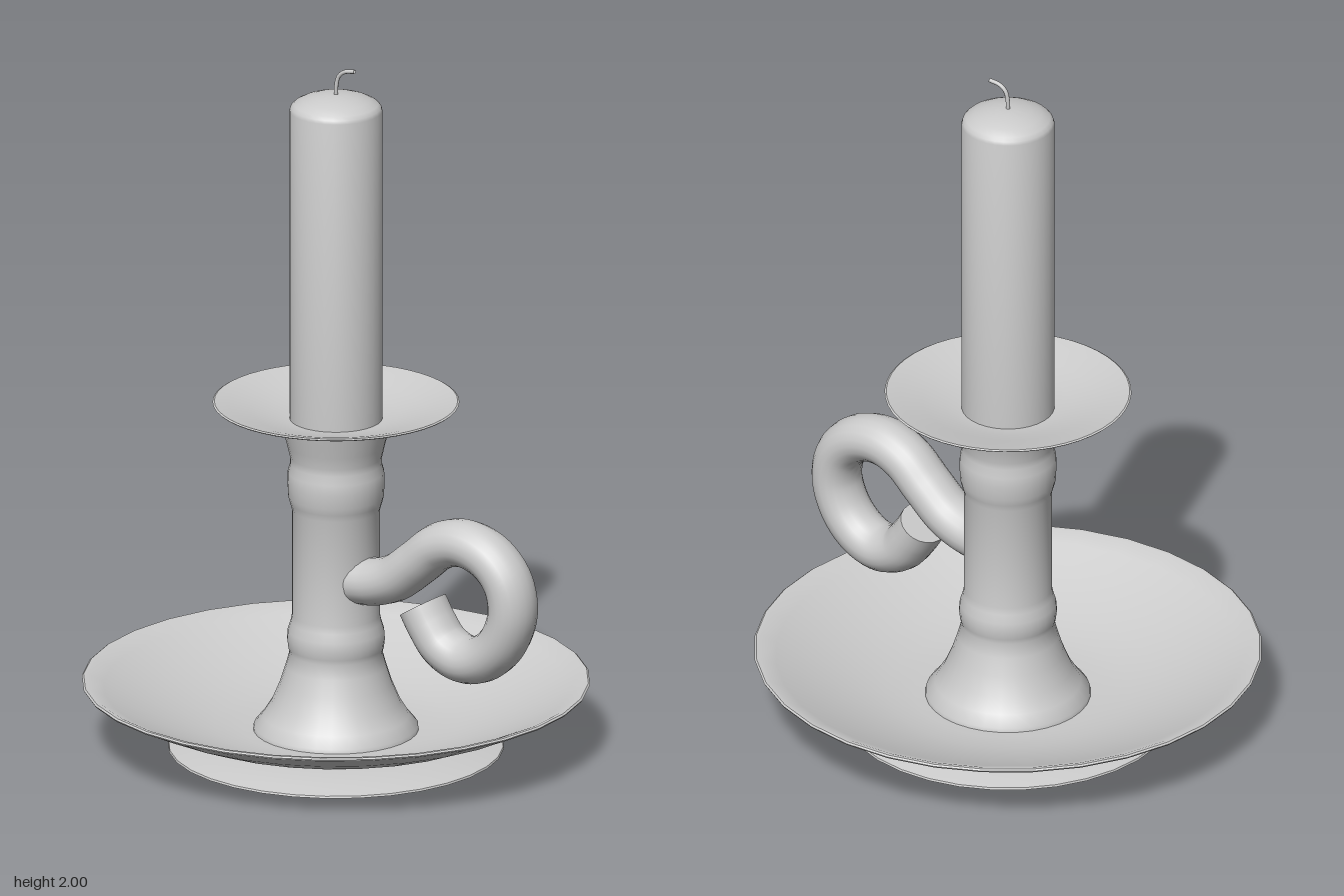
import * as THREE from 'three';
import { toCreasedNormals } from 'three/addons/utils/BufferGeometryUtils.js';

const material = new THREE.MeshStandardMaterial({ color: 0xcccccc, side: THREE.DoubleSide });

function addMesh(parent, name, geometry) {
  const mesh = new THREE.Mesh(geometry, material);
  mesh.name = name;
  parent.add(mesh);
  return mesh;
}

// Turned part: profile of [radius, height] pairs, outside going up, inside coming down
function turned(parent, name, profile, segments = 32) {
  const points = profile.map(([r, y]) => new THREE.Vector2(r, y));
  return addMesh(parent, name, toCreasedNormals(new THREE.LatheGeometry(points, segments), 0.6));
}

const curveThrough = (points) => new THREE.CatmullRomCurve3(points.map((p) => new THREE.Vector3(...p)));

export function createModel() {
  const model = new THREE.Group();
  model.name = 'candlestick';

  // Shallow foot, hollow underneath
  turned(model, 'foot', [
    [0, 0.022], [0.25, 0.022], [0.35, 0.016], [0.42, 0.008], [0.462, 0],
    [0.47, 0.002], [0.468, 0.008], [0.42, 0.02], [0.36, 0.03], [0.29, 0.038], [0, 0.038],
  ]);

  // Wide saucer with a rounded lip
  turned(model, 'saucer', [
    [0, 0.038], [0.28, 0.038], [0.34, 0.05], [0.42, 0.071], [0.5, 0.098], [0.6, 0.139],
    [0.66, 0.168], [0.708, 0.19], [0.711, 0.195], [0.706, 0.199], [0.694, 0.198],
    [0.65, 0.178], [0.59, 0.15], [0.5, 0.113], [0.42, 0.086], [0.34, 0.065], [0.26, 0.054], [0, 0.05],
  ]);

  // Stem with flared base, two collars and flared socket
  turned(model, 'stem', [
    [0, 0.05], [0.232, 0.05], [0.23, 0.065], [0.205, 0.095], [0.18, 0.135], [0.157, 0.19],
    [0.141, 0.24], [0.13, 0.28], [0.134, 0.295], [0.137, 0.32], [0.135, 0.345], [0.127, 0.37],
    [0.123, 0.39], [0.123, 0.7], [0.129, 0.72], [0.134, 0.74], [0.136, 0.78], [0.135, 0.81],
    [0.128, 0.835], [0.129, 0.855], [0.137, 0.89], [0.146, 0.925], [0.152, 0.95], [0, 0.95],
  ]);

  // Drip dish under the candle
  turned(model, 'dripDish', [
    [0, 0.955], [0.13, 0.957], [0.18, 0.966], [0.24, 0.982], [0.3, 1.0], [0.342, 1.011],
    [0.345, 1.014], [0.34, 1.017], [0.3, 1.008], [0.24, 0.991], [0.18, 0.976], [0.13, 0.967], [0, 0.965],
  ], 48);

  // Candle with a softly domed top
  turned(model, 'candle', [
    [0, 0.962], [0.13, 0.962], [0.13, 1.872], [0.127, 1.882], [0.118, 1.891],
    [0.095, 1.903], [0.065, 1.913], [0.03, 1.919], [0, 1.92],
  ]);

  // Bent wick
  const wickPath = curveThrough([
    [0, 1.9, 0], [0, 1.945, 0.001], [0.002, 1.973, 0.008], [0.005, 1.988, 0.025], [0.01, 1.994, 0.058],
  ]);
  addMesh(model, 'wick', new THREE.TubeGeometry(wickPath, 16, 0.006, 8));

  // Curled handle, slightly wider sideways than in its plane
  const handle = new THREE.Group();
  handle.name = 'handle';
  handle.position.x = -0.01;
  handle.scale.x = 1.14;
  model.add(handle);
  const handlePath = curveThrough([
    [0, 0.51, 0.09], [0, 0.518, 0.15], [0, 0.545, 0.22], [0, 0.607, 0.3], [0, 0.668, 0.375],
    [0, 0.692, 0.46], [0, 0.668, 0.55], [0, 0.607, 0.61], [0, 0.52, 0.627], [0, 0.43, 0.594],
    [0, 0.37, 0.53], [0, 0.352, 0.46], [0, 0.378, 0.39], [0, 0.43, 0.345], [0, 0.482, 0.312],
  ]);
  addMesh(handle, 'handleTube', new THREE.TubeGeometry(handlePath, 80, 0.067, 20));
  [0, 1].forEach((t) => {
    const cap = addMesh(handle, 'handleEnd', new THREE.CircleGeometry(0.067, 20));
    const end = handlePath.getPointAt(t);
    const outward = handlePath.getTangentAt(t).multiplyScalar(t ? 1 : -1);
    cap.position.copy(end);
    cap.quaternion.setFromUnitVectors(new THREE.Vector3(0, 0, 1), outward);
  });

  return model;
}
